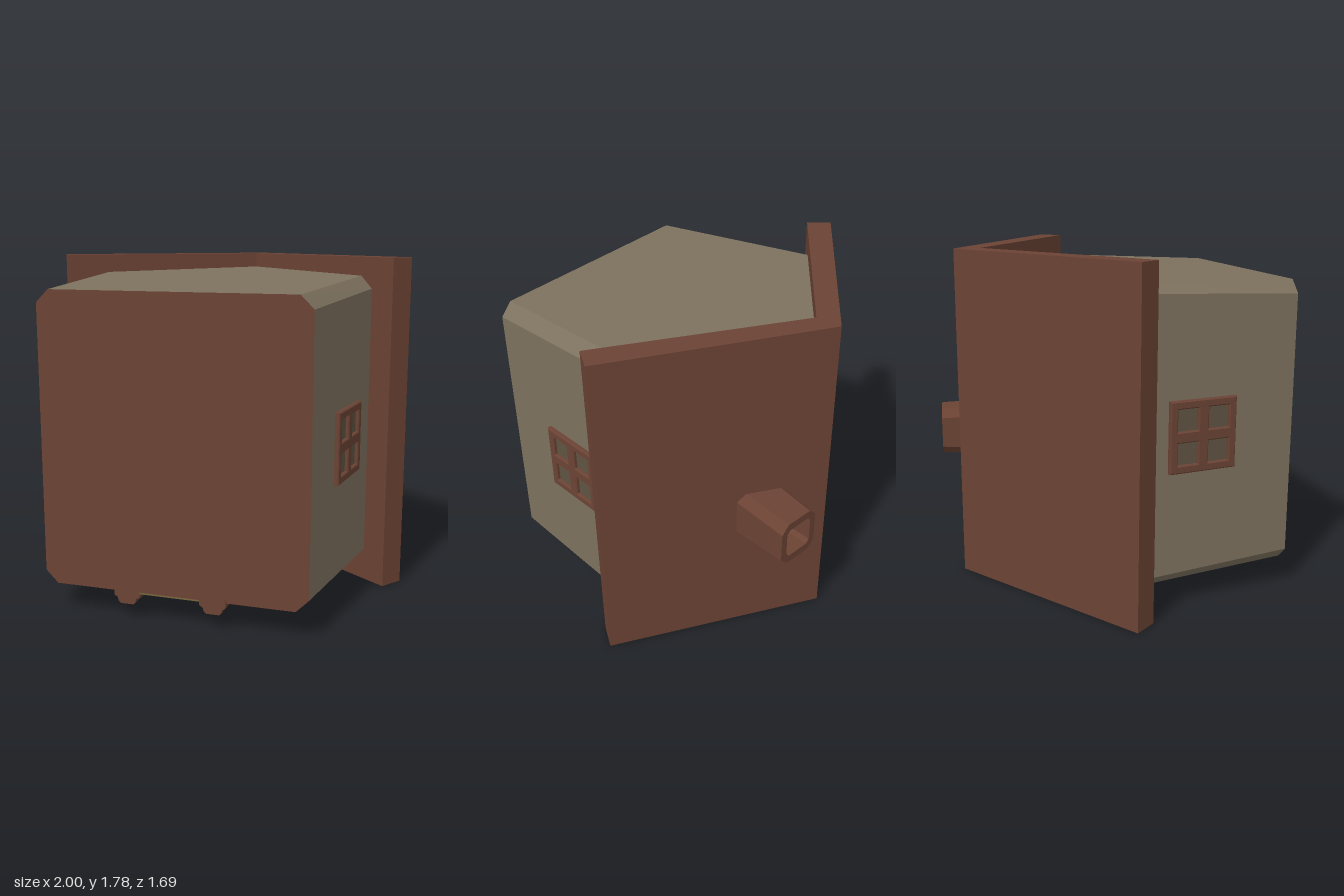
import * as THREE from 'three';

const mat = (color) => new THREE.MeshStandardMaterial({ color, flatShading: true });
const WOOD = mat(0x6b4334), WALL = mat(0x7d715e), PANE = mat(0x5f5443), DOOR = mat(0x75653c);

function add(parent, name, geometry, material) {
  const mesh = new THREE.Mesh(geometry, material);
  mesh.name = name;
  parent.add(mesh);
  return mesh;
}

// Rectangle with cut corners and mid points on its two x-running edges, counterclockwise
function outline(x0, x1, y0, y1, c) {
  const m = (x0 + x1) / 2;
  return [[m, y0], [x1 - c, y0], [x1, y0 + c], [x1, y1 - c], [x1 - c, y1],
    [m, y1], [x0 + c, y1], [x0, y1 - c], [x0, y0 + c], [x0 + c, y0]];
}

// Skin over rings of equal point count; optionally closes the first ring
function loft(rings, capStart = false) {
  const n = rings[0].length, index = [];
  for (let r = 0; r < rings.length - 1; r++) {
    for (let i = 0; i < n; i++) {
      const a = r * n + i, b = r * n + (i + 1) % n;
      index.push(a, b, b + n, a, b + n, a + n);
    }
  }
  if (capStart) for (let i = 1; i < n - 1; i++) index.push(0, i + 1, i);
  let g = new THREE.BufferGeometry();
  g.setAttribute('position', new THREE.Float32BufferAttribute(rings.flat(2), 3));
  g.setIndex(index);
  g = g.toNonIndexed();
  g.computeVertexNormals();
  return g;
}

const polygon = (pts) => new THREE.Shape(pts.map(([x, y]) => new THREE.Vector2(x, y)));

// The house lies on its back: its ridge points to -z and its door faces down
export function createModel() {
  const house = new THREE.Group();
  house.name = 'house';

  // Walls flare from the floor to the eaves and end in a gable under the roof
  const base = outline(-0.70, 0.68, 0.145, 1.645, 0.065);
  const eaves = outline(-0.805, 0.795, 0.11, 1.685, 0.065).map(([x, y], i) => {
    const gable = i === 0 ? -0.02 : i === 5 ? 0.02 : 0;
    return [x, y + gable, -0.645 + 0.717 * Math.abs(x)];
  });
  add(house, 'walls', loft([eaves, base.map(([x, y]) => [x, y, 0.84])]), WALL);
  add(house, 'floor', new THREE.ShapeGeometry(polygon(base)), WOOD).position.z = 0.84;

  // Roof
  const roof = new THREE.ExtrudeGeometry(polygon([[0, 0.64], [0.915, -0.022], [0.995, 0.09],
    [0, 0.78], [-1, 0.09], [-0.92, -0.018]]), { depth: 1.785, bevelEnabled: false });
  add(house, 'roof', roof.rotateX(-Math.PI / 2), WOOD);

  // Leaning hollow chimney: hole floor, inner rim, outer rim, foot
  const chimneyRing = (cx, cz, w, h, c) => outline(-w, w, -h, h, c)
    .map(([u, v]) => [cx + u * 0.99, 0.742 + v, cz + u * 0.14]);
  add(house, 'chimney', loft([
    chimneyRing(0.32, -0.70, 0.075, 0.075, 0.02),
    chimneyRing(0.34, -0.832, 0.085, 0.085, 0.02),
    chimneyRing(0.34, -0.832, 0.123, 0.128, 0.045),
    chimneyRing(0.26, -0.43, 0.137, 0.147, 0.045),
  ], true), WOOD);

  // Windows: a frame with four openings over a pane
  const half = 0.179, bar = 0.024, gap = 0.023;
  const frame = polygon([[-half, -half], [half, -half], [half, half], [-half, half]]);
  for (const sx of [-1, 1]) {
    for (const sy of [-1, 1]) {
      const a = gap, b = half - bar - 0.006;
      frame.holes.push(new THREE.Path([[a, a], [b, a], [b, b], [a, b]]
        .map(([x, y]) => new THREE.Vector2(sx * x, sy * y))));
    }
  }
  const frameGeometry = new THREE.ExtrudeGeometry(frame,
    { depth: 0.028, bevelSize: 0.006, bevelThickness: 0.006, bevelSegments: 1 });
  for (const [side, x, y, z] of [[1, 0.745, 0.87, 0.325], [-1, -0.76, 0.905, 0.315]]) {
    const win = new THREE.Group();
    win.name = side > 0 ? 'leftWindow' : 'rightWindow';
    win.position.set(x, y, z);
    win.rotation.y = side * (Math.PI / 2 - 0.122);
    add(win, 'windowFrame', frameGeometry, WOOD).position.z = -0.01;
    add(win, 'windowPane', new THREE.BoxGeometry(0.34, 0.34, 0.012), PANE);
    house.add(win);
  }

  // Door panel, set almost flush in the sloping wall
  const panel = add(house, 'door', new THREE.BoxGeometry(0.40, 0.03, 0.72), DOOR);
  panel.position.set(-0.025, 0.139, 0.48);
  panel.rotation.x = -0.037;

  // Door posts with bevelled outer edges
  const post = new THREE.ExtrudeGeometry(polygon([[-0.068, 0.02], [-0.068, -0.025], [-0.05, -0.035],
    [-0.045, -0.055], [-0.033, -0.065], [0.033, -0.065], [0.045, -0.055], [0.05, -0.035],
    [0.068, -0.025], [0.068, 0.02]]), { depth: 0.69, bevelEnabled: false });
  post.translate(0, 0, -0.69);
  for (const x of [-0.252, 0.2]) {
    const p = add(house, 'doorPost', post, WOOD);
    p.position.set(x, 0.145, 0.842);
    p.rotation.x = -0.015;
  }

  // Arched lintel
  const arch = new THREE.Shape();
  arch.moveTo(-0.335, -0.215);
  arch.quadraticCurveTo(0, -0.015, 0.335, -0.215);
  arch.lineTo(0.335, -0.15);
  arch.quadraticCurveTo(0, 0.05, -0.335, -0.15);
  const lintel = new THREE.ExtrudeGeometry(arch, { depth: 0.06, curveSegments: 6,
    bevelSize: 0.014, bevelThickness: 0.014, bevelSegments: 1 });
  add(house, 'doorLintel', lintel.rotateX(-Math.PI / 2), WOOD).position.set(-0.025, 0.07, 0);

  return house;
}
